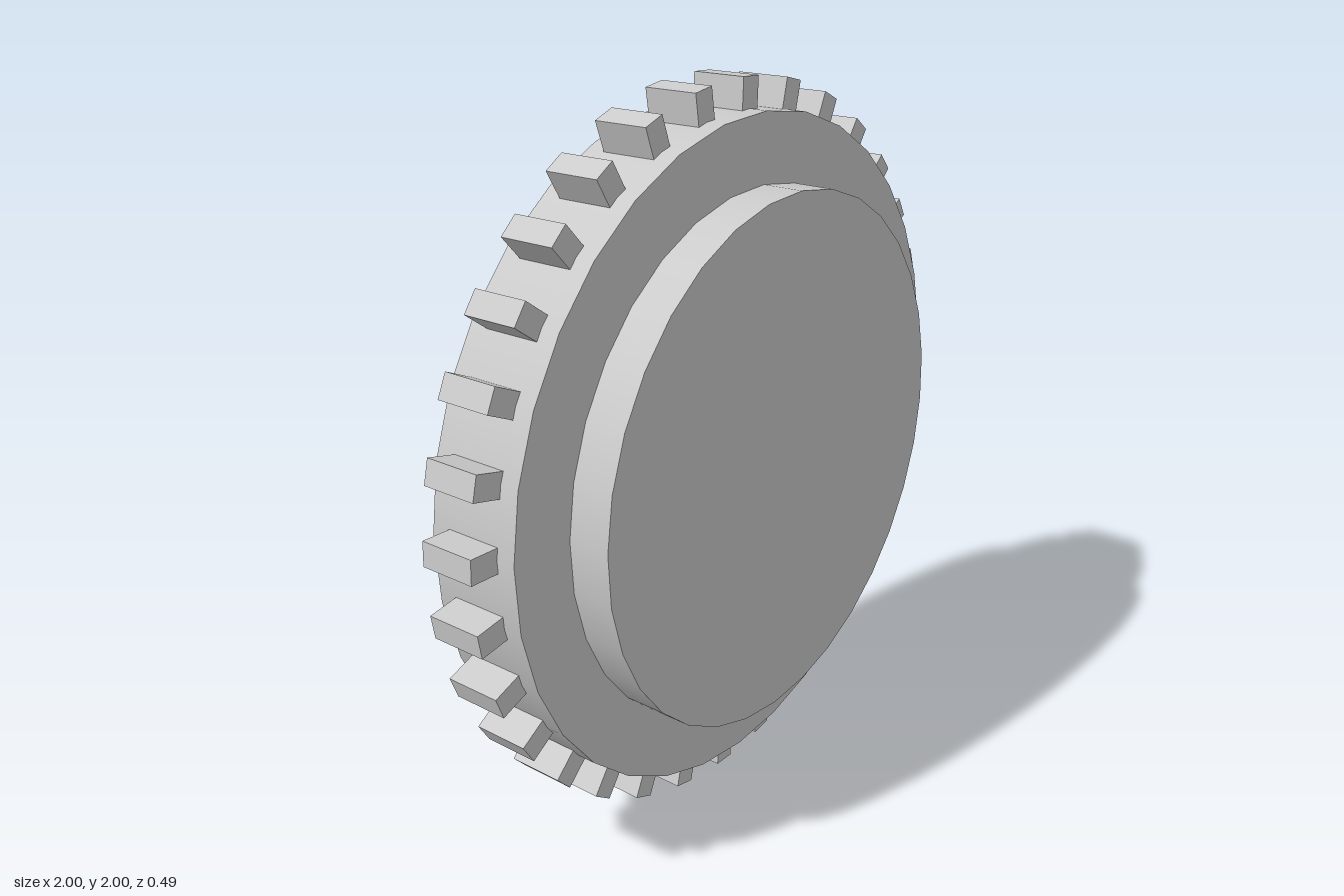
import * as THREE from 'three';

const SIDES = 32;
const TEETH = 32;
const TILT = THREE.MathUtils.degToRad(-3);

export function createModel() {
  const model = new THREE.Group();
  model.name = 'toothedWheel';
  const material = new THREE.MeshStandardMaterial({ color: 0xcccccc });

  // Everything turns about the wheel's axle, along z
  const wheel = new THREE.Group();
  wheel.name = 'wheel';
  wheel.position.y = 1;
  wheel.rotation.z = TILT;
  model.add(wheel);

  const addDisc = (name, radius, depth) => {
    const geometry = new THREE.CylinderGeometry(radius, radius, depth, SIDES);
    geometry.rotateX(Math.PI / 2);
    const disc = new THREE.Mesh(geometry, material);
    disc.name = name;
    wheel.add(disc);
  };

  // Thick hub standing out on both faces, and the wider rim disc
  addDisc('hub', 0.736, 0.492);
  addDisc('rim', 0.92, 0.26);

  // Block teeth around the rim, roots sunk into it
  const teeth = new THREE.Group();
  teeth.name = 'teeth';
  wheel.add(teeth);
  const toothGeometry = new THREE.BoxGeometry(0.12, 0.065, 0.154);
  toothGeometry.translate(0.94, 0, 0);
  for (let i = 0; i < TEETH; i++) {
    const tooth = new THREE.Mesh(toothGeometry, material);
    tooth.name = `tooth${i + 1}`;
    tooth.rotation.z = (i / TEETH) * Math.PI * 2;
    teeth.add(tooth);
  }

  return model;
}
